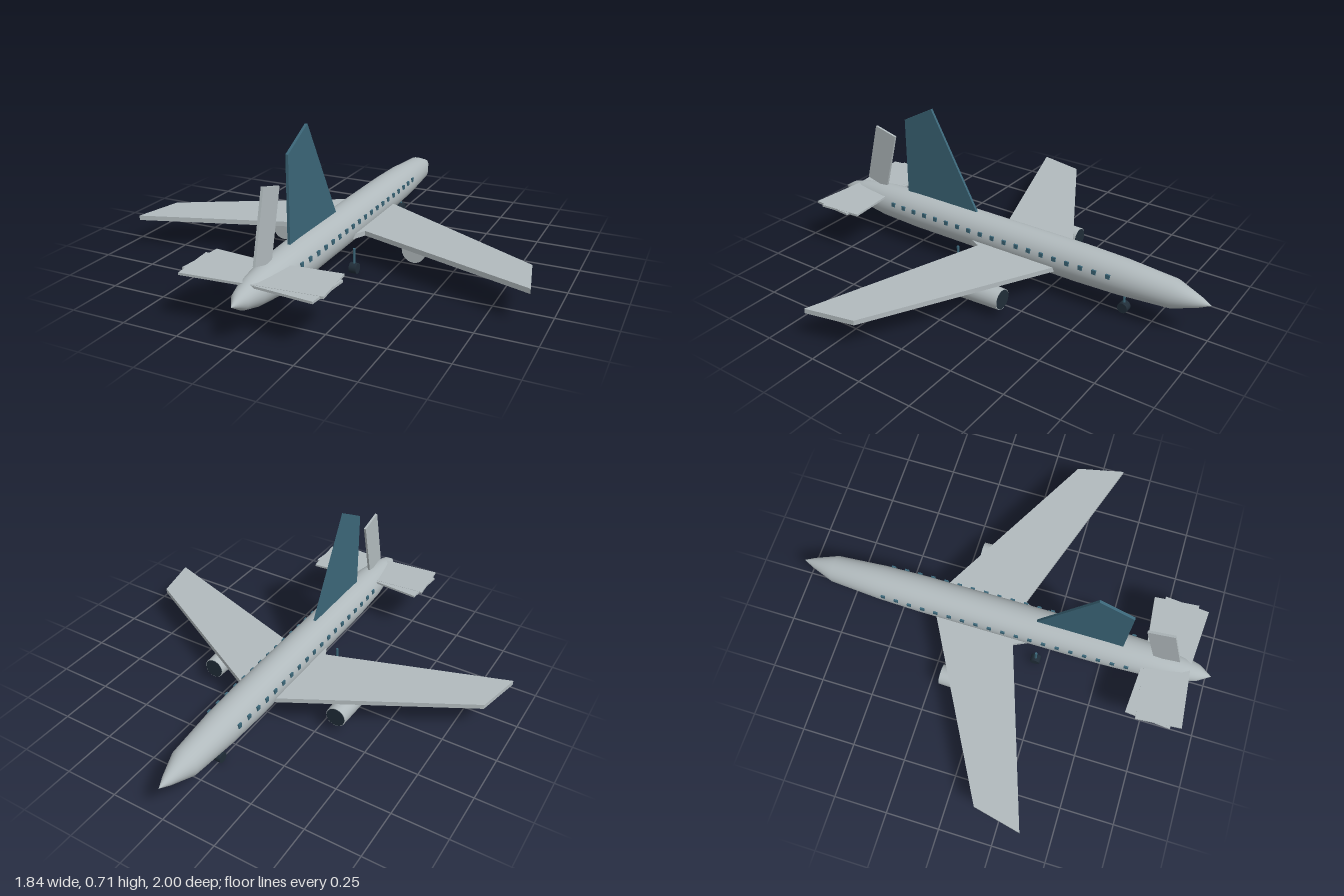
import * as THREE from 'three';

export function createModel() {
  const model = new THREE.Group();
  const material = (name, color) => {
    const m = new THREE.MeshStandardMaterial({ color });
    m.name = name;
    return m;
  };
  const grey = material('hull grey', 0xb1babd);
  const teal = material('fin teal', 0x3b6678);
  const dark = material('tyre dark', 0x202d38);

  const add = (name, geometry, mat, x = 0, y = 0, z = 0, parent = model) => {
    const mesh = new THREE.Mesh(geometry, mat);
    mesh.name = name;
    mesh.position.set(x, y, z);
    parent.add(mesh);
    return mesh;
  };
  // Flat plate from an outline, centred on its thickness
  const plate = (points, depth) => new THREE.ExtrudeGeometry(
    new THREE.Shape(points.map(([a, b]) => new THREE.Vector2(a, b))),
    { depth, bevelEnabled: false }).translate(0, 0, -depth / 2);

  // Fuselage: radius along z, nose at -z
  const axisY = 0.171;
  const profile = [[-1, 0], [-0.95, 0.024], [-0.84, 0.064], [-0.6, 0.081], [-0.4, 0.0865], [0, 0.087],
    [0.5, 0.087], [0.7, 0.08], [0.86, 0.06], [0.94, 0.038], [1, 0]];
  add('fuselage', new THREE.LatheGeometry(profile.map(([z, r]) => new THREE.Vector2(r, z)), 32)
    .rotateX(Math.PI / 2), grey, 0, axisY, 0);
  const radiusAt = (z) => {
    const i = profile.findIndex((p) => p[0] >= z);
    const [z0, r0] = profile[i - 1], [z1, r1] = profile[i];
    return r0 + (r1 - r0) * (z - z0) / (z1 - z0);
  };

  // Swept wings, outline in x and z
  const wing = [[0, -0.35], [0.873, 0.132], [0.922, 0.355], [0.11, 0.082], [0.08, 0.145], [0, 0.145]];
  // Engine with a dark intake at the front
  const engineBody = new THREE.CylinderGeometry(0.055, 0.047, 0.25, 24).rotateX(Math.PI / 2);
  const intake = new THREE.CylinderGeometry(0.044, 0.044, 0.008, 24).rotateX(Math.PI / 2);
  const windowPane = new THREE.BoxGeometry(0.008, 0.02, 0.02);

  for (const [side, s] of [['left', 1], ['right', -1]]) {
    add(side + 'Wing', plate(wing.map(([x, z]) => [s * x, -z]), 0.022).rotateX(-Math.PI / 2),
      grey, 0, 0.145, 0);

    const engine = new THREE.Group();
    engine.name = side + 'Engine';
    engine.position.set(s * 0.327, 0.084, -0.078);
    add('engineBody', engineBody, grey, 0, 0, 0, engine);
    add('engineIntake', intake, dark, 0, 0, -0.123, engine);
    model.add(engine);

    // Row of cabin windows
    const windows = new THREE.Group();
    windows.name = side + 'Windows';
    const wy = 0.198;
    for (let i = 0; i < 19; i++) {
      const z = -0.568 + i * 0.0656;
      const x = Math.sqrt(radiusAt(z) ** 2 - (wy - axisY) ** 2);
      add('window', windowPane, teal, s * (x + 0.001), wy, z, windows);
    }
    model.add(windows);

    // Tailplane: two slabs crossing at a slight angle
    add(side + 'Tailplane', new THREE.BoxGeometry(0.592, 0.01, 0.21), grey, 0, 0.214 + s * 0.0005, 0.788)
      .rotation.y = s * 0.085;
  }

  // Tall fin, outline in z and y
  add('tailFin', plate([[0.574, 0.2], [0.574, 0.627], [0.413, 0.713], [0.16, 0.25], [0.16, 0.2]], 0.012)
    .rotateY(-Math.PI / 2), teal);
  // Leaning rear fin
  add('rearFin', new THREE.BoxGeometry(0.011, 0.3, 0.122), grey, 0, 0.393, 0.74).rotation.x = -0.255;

  // Landing gear
  const strut = new THREE.CylinderGeometry(0.006, 0.006, 0.09, 10);
  const wheel = new THREE.CylinderGeometry(0.024, 0.024, 0.035, 16).rotateZ(Math.PI / 2);
  for (const [name, x, z] of [['noseGear', 0, -0.615], ['leftGear', 0.11, 0.197], ['rightGear', -0.11, 0.197]]) {
    const gear = new THREE.Group();
    gear.name = name;
    gear.position.set(x, 0, z);
    add('strut', strut, teal, 0, 0.07, 0, gear);
    add('wheel', wheel, dark, 0, 0.024, 0, gear);
    model.add(gear);
  }
  return model;
}
